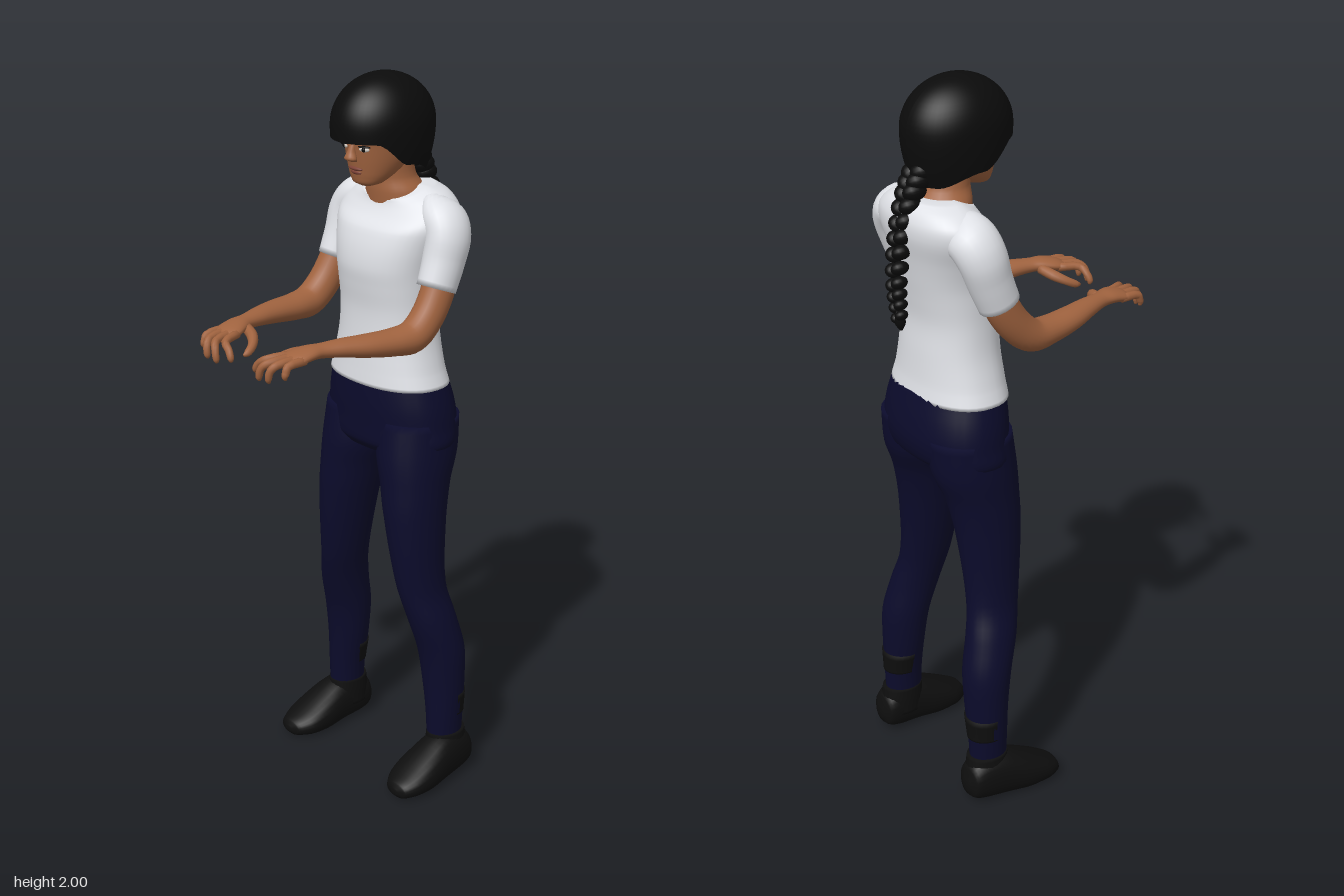
import * as THREE from 'three';

const mat = (name, color, side = THREE.FrontSide) => {
  const m = new THREE.MeshStandardMaterial({ color, side });
  m.name = name;
  return m;
};
const X = new THREE.Vector3(1, 0, 0);
const Y = new THREE.Vector3(0, 1, 0);
const Z = new THREE.Vector3(0, 0, 1);

// Smooth skin over elliptical sections; rows are [x, y, z, radiusU, radiusV].
// axis fixes the section normal, otherwise sections follow the path.
function sweep(rows, { axis = null, seg = 24, sub = 5, power = 1, rule = null } = {}) {
  const path = new THREE.CatmullRomCurve3(rows.map(r => new THREE.Vector3(r[0], r[1], r[2])));
  const size = new THREE.CatmullRomCurve3(rows.map(r => new THREE.Vector3(r[3], r[4] ?? r[3], 0)), false, 'catmullrom', 0.5);
  const n = (rows.length - 1) * sub;
  const pos = [], idx = [];
  const bend = v => Math.sign(v) * Math.abs(v) ** power;
  const push = p => { if (rule) rule(p); pos.push(p.x, p.y, p.z); };
  for (let i = 0; i <= n; i++) {
    const p = path.getPoint(i / n), s = size.getPoint(i / n);
    const t = axis || path.getTangent(i / n);
    const u = X.clone().addScaledVector(t, -X.dot(t)).normalize();
    const v = new THREE.Vector3().crossVectors(t, u);
    for (let j = 0; j < seg; j++) {
      const a = j / seg * Math.PI * 2;
      push(p.clone().addScaledVector(u, s.x * bend(Math.cos(a))).addScaledVector(v, s.y * bend(Math.sin(a))));
      if (i === n) continue;
      const k = (j + 1) % seg, b = i * seg, c = b + seg;
      idx.push(b + j, b + k, c + k, b + j, c + k, c + j);
    }
  }
  // end caps
  const c0 = pos.length / 3, last = n * seg;
  push(path.getPoint(0));
  push(path.getPoint(1));
  for (let j = 0; j < seg; j++) {
    const k = (j + 1) % seg;
    idx.push(c0, k, j, c0 + 1, last + j, last + k);
  }
  const g = new THREE.BufferGeometry();
  g.setAttribute('position', new THREE.Float32BufferAttribute(pos, 3));
  g.setIndex(idx);
  g.computeVertexNormals();
  return g;
}

// Hair shell: rounded crown, short over the face and longer behind
function hairShell() {
  const g = new THREE.PlaneGeometry(1, 1, 56, 22);
  const p = g.attributes.position, uv = g.attributes.uv;
  for (let i = 0; i < p.count; i++) {
    const a = (uv.getX(i) * 2 - 1) * Math.PI, v = 1 - uv.getY(i), s = Math.abs(a) / Math.PI;
    const edge = 1.838 - 0.062 * THREE.MathUtils.smoothstep(s, 0.26, 0.48) - 0.036 * THREE.MathUtils.smoothstep(s, 0.5, 0.8);
    const y = 2 - (2 - edge) * (1 - Math.cos(v * Math.PI / 2));
    const d = (y - 1.87) / 0.13;
    const f = d > 0 ? Math.sqrt(Math.max(0, 1 - d * d)) : 1 - 0.18 * d * d;
    p.setXYZ(i, 0.12 * f * Math.sin(a), y, -0.14 + 0.15 * f * Math.cos(a));
  }
  g.computeVertexNormals();
  return g;
}

export function createModel() {
  const model = new THREE.Group();
  model.name = 'standingWoman';
  const skin = mat('skin', 0xa0633f);
  const shirt = mat('shirt', 0xdfe1e6, THREE.DoubleSide);
  const denim = mat('navyTrousers', 0x0b0b2b);
  const hair = mat('hair', 0x0b0b0b, THREE.DoubleSide);
  const shoe = mat('shoeBlack', 0x0e0e0e);
  const white = mat('eyeWhite', 0xcfc8c0);
  const lip = mat('lips', 0x7c4236);

  const add = (name, geo, m, parent = model) => {
    const mesh = new THREE.Mesh(geo, m);
    mesh.name = name;
    parent.add(mesh);
    return mesh;
  };
  const blob = (name, m, x, y, z, rx, ry, rz, parent = model) => {
    const b = add(name, new THREE.SphereGeometry(1, 18, 12), m, parent);
    b.position.set(x, y, z);
    b.scale.set(rx, ry, rz);
    return b;
  };

  // Shirt body, with the neckline dipping at the front
  add('shirtBody', sweep([
    [0, 1.175, -0.172, 0.188, 0.122], [0, 1.22, -0.17, 0.172, 0.116], [0, 1.3, -0.17, 0.153, 0.11],
    [0, 1.38, -0.168, 0.147, 0.107], [0, 1.45, -0.168, 0.149, 0.116], [0, 1.5, -0.17, 0.154, 0.123],
    [0, 1.56, -0.18, 0.168, 0.124], [0, 1.62, -0.198, 0.185, 0.119], [0, 1.66, -0.21, 0.178, 0.106],
    [0, 1.69, -0.21, 0.142, 0.092], [0, 1.707, -0.2, 0.1, 0.08],
  ], { axis: Y, seg: 40, power: 0.9, rule: p => {
    if (p.y > 1.6 && p.z > -0.2) p.y -= (p.y - 1.6) * (p.z + 0.2) * 4;
  } }), shirt);

  // Hips
  add('trouserHips', sweep([
    [0, 1.19, -0.173, 0.182, 0.118], [0, 1.12, -0.181, 0.2, 0.128], [0, 1.06, -0.185, 0.207, 0.13],
    [0, 1.01, -0.18, 0.209, 0.122], [0, 0.985, -0.175, 0.17, 0.1],
  ].reverse(), { axis: Y, seg: 36, power: 0.92 }), denim);

  // Neck and head
  add('neck', sweep([
    [0, 1.63, -0.195, 0.095, 0.075], [0, 1.69, -0.188, 0.085, 0.074],
    [0, 1.73, -0.175, 0.062, 0.062], [0, 1.82, -0.16, 0.058, 0.06],
  ], { axis: Y }), skin);
  add('head', sweep([
    [0, 1.713, -0.085, 0.018, 0.016], [0, 1.722, -0.088, 0.042, 0.036], [0, 1.745, -0.105, 0.062, 0.06],
    [0, 1.78, -0.124, 0.079, 0.085], [0, 1.82, -0.13, 0.088, 0.097], [0, 1.87, -0.135, 0.094, 0.108],
    [0, 1.93, -0.14, 0.075, 0.085],
  ], { axis: Y, seg: 32 }), skin);
  add('nose', sweep([
    [0, 1.83, -0.037, 0.008, 0.008], [0, 1.808, -0.031, 0.011, 0.012],
    [0, 1.79, -0.028, 0.019, 0.015], [0, 1.782, -0.036, 0.012, 0.008],
  ].reverse(), { axis: Y, seg: 14 }), skin);
  blob('upperLip', lip, 0, 1.762, -0.046, 0.025, 0.006, 0.009);
  blob('lowerLip', lip, 0, 1.752, -0.05, 0.021, 0.007, 0.009);
  for (const s of [1, -1]) {
    blob('eye', white, s * 0.036, 1.817, -0.042, 0.015, 0.006, 0.005).rotation.y = s * 0.4;
    blob('iris', hair, s * 0.036, 1.817, -0.039, 0.006, 0.006, 0.004);
    blob('eyelid', hair, s * 0.037, 1.824, -0.041, 0.018, 0.003, 0.006).rotation.y = s * 0.4;
    blob('eyebrow', hair, s * 0.038, 1.837, -0.038, 0.022, 0.004, 0.006).rotation.y = s * 0.4;
  }

  // Hair and plait
  add('hairCap', hairShell(), hair);
  const plait = new THREE.Group();
  plait.name = 'plait';
  model.add(plait);
  const line = new THREE.CatmullRomCurve3([[1.8, -0.24], [1.73, -0.28], [1.62, -0.314], [1.5, -0.328], [1.41, -0.322]]
    .map(([y, z]) => new THREE.Vector3(0, y, z)));
  for (let i = 0; i < 13; i++) {
    const t = i / 12, p = line.getPoint(t), r = 0.037 - 0.019 * t;
    for (const s of [1, -1]) {
      const knot = blob('plaitStrand', hair, s * r * 0.55, p.y - (s > 0 ? 0.014 : 0), p.z, r * 0.85, r * 0.72, r, plait);
      knot.rotation.z = s * 0.6;
    }
  }
  add('plaitTip', sweep([[0, 1.365, -0.318, 0.004], [0, 1.385, -0.32, 0.014], [0, 1.42, -0.322, 0.012]], { axis: Y, seg: 12 }), hair, plait);

  for (const s of [1, -1]) {
    const side = rows => rows.map(([x, ...rest]) => [s * x, ...rest]);
    const label = s > 0 ? 'left' : 'right';

    // Sleeve and arm
    const arm = new THREE.Group();
    arm.name = label + 'Arm';
    model.add(arm);
    add('sleeve', sweep(side([
      [0.11, 1.64, -0.215, 0.04, 0.06], [0.155, 1.632, -0.21, 0.055, 0.068], [0.184, 1.595, -0.2, 0.056, 0.066],
      [0.19, 1.53, -0.18, 0.053, 0.06], [0.193, 1.462, -0.153, 0.049, 0.056],
    ])), shirt, arm);
    add('armAndPalm', sweep(side([
      [0.193, 1.55, -0.185, 0.042], [0.199, 1.46, -0.153, 0.043, 0.046], [0.203, 1.395, -0.11, 0.043, 0.045],
      [0.203, 1.356, -0.06, 0.044, 0.043], [0.195, 1.352, 0, 0.044, 0.036], [0.183, 1.358, 0.08, 0.04, 0.03],
      [0.165, 1.364, 0.15, 0.032, 0.024], [0.151, 1.366, 0.205, 0.026, 0.019], [0.143, 1.366, 0.24, 0.034, 0.018],
      [0.135, 1.36, 0.275, 0.04, 0.016], [0.132, 1.354, 0.3, 0.032, 0.011],
    ])), skin, arm);
    // Curled fingers: knuckle x, tip x, tip y, tip z
    for (const [k, x, y, z] of [[0.163, 0.163, 1.322, 0.335], [0.144, 0.123, 1.308, 0.355],
      [0.124, 0.086, 1.305, 0.355], [0.107, 0.05, 1.312, 0.336]]) {
      add('finger', sweep(side([
        [k, 1.358, 0.27, 0.012], [k * 0.6 + x * 0.4, 1.354, 0.6 * z + 0.124, 0.011],
        [k * 0.2 + x * 0.8, 1.34, z - 0.003, 0.01], [x, y + 0.01, z, 0.009], [x, y, z - 0.002, 0.004],
      ]), { seg: 10, sub: 3 }), skin, arm);
    }
    add('thumb', sweep(side([
      [0.125, 1.36, 0.222, 0.014], [0.085, 1.35, 0.236, 0.015], [0.058, 1.338, 0.258, 0.012],
      [0.046, 1.326, 0.283, 0.01], [0.045, 1.322, 0.297, 0.004],
    ]), { seg: 10, sub: 3 }), skin, arm);

    // Trouser leg
    const leg = new THREE.Group();
    leg.name = label + 'Leg';
    model.add(leg);
    add('trouserLeg', sweep(side([
      [0.208, 0.09, -0.205, 0.041, 0.054], [0.207, 0.2, -0.205, 0.049, 0.056], [0.201, 0.3, -0.205, 0.059, 0.061],
      [0.195, 0.4, -0.198, 0.065, 0.068], [0.181, 0.5, -0.173, 0.062, 0.073], [0.158, 0.6, -0.152, 0.059, 0.076],
      [0.134, 0.8, -0.148, 0.077, 0.093], [0.122, 0.9, -0.158, 0.088, 0.104], [0.109, 0.98, -0.174, 0.101, 0.119],
      [0.105, 1.08, -0.185, 0.098, 0.118],
    ]), { axis: Y, seg: 28 }), denim, leg);
    add('rearAnkleBand', sweep(side([
      [0.207, 0.2, -0.209, 0.049, 0.056], [0.203, 0.265, -0.21, 0.056, 0.059],
    ]), { axis: Y }), shoe, leg);

    // Shoe with a flattened sole
    add('shoe', sweep(side([
      [0.215, 0.06, -0.285, 0.015, 0.015], [0.214, 0.066, -0.272, 0.042, 0.05], [0.215, 0.072, -0.235, 0.052, 0.068],
      [0.22, 0.068, -0.17, 0.058, 0.07], [0.223, 0.05, -0.1, 0.066, 0.056], [0.225, 0.036, -0.04, 0.061, 0.037],
      [0.229, 0.028, 0, 0.038, 0.022], [0.23, 0.025, 0.01, 0.01, 0.008],
    ]), { axis: Z, power: 0.9, rule: p => {
      p.y = Math.max(p.y, 0.002 + 0.14 * Math.max(0, -p.z - 0.1));
    } }), shoe, leg);
    add('shoeCollar', sweep(side([
      [0.213, 0.06, -0.212, 0.054, 0.066], [0.21, 0.105, -0.21, 0.051, 0.064], [0.209, 0.142, -0.209, 0.047, 0.06],
    ]), { axis: Y }), shoe, leg);
  }
  return model;
}
